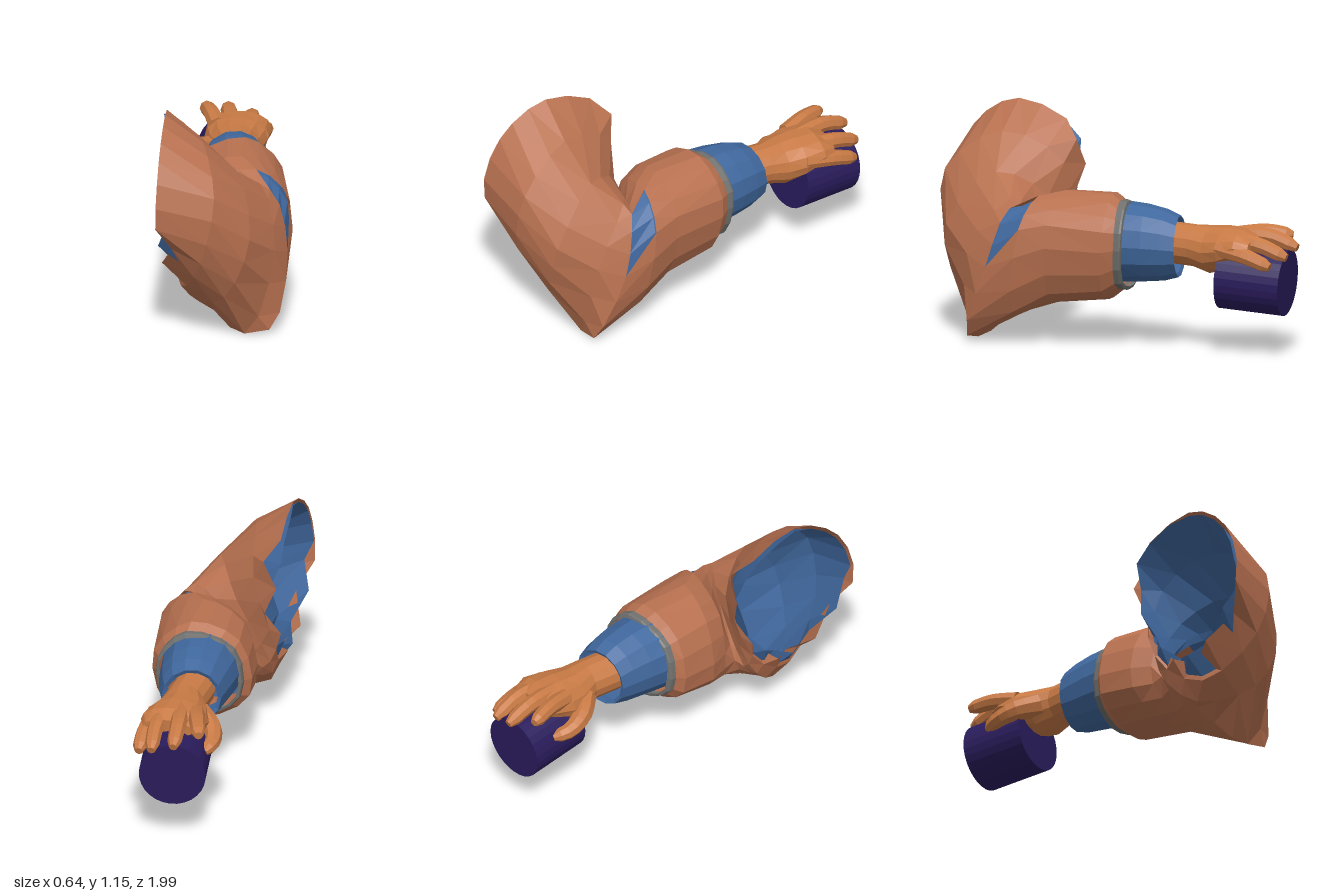
import * as THREE from 'three';

const V = (x, y, z) => new THREE.Vector3(x, y, z);
const SIDES = 18;

const material = (color) =>
  new THREE.MeshStandardMaterial({ color, flatShading: true, side: THREE.DoubleSide });
const cloth = material(0xb87150);
const lining = material(0x40689e);
const metal = material(0x70706e);
const skin = material(0xc87a45);
const dark = material(0x2a1c5c);

// Joins closed cross-sections into a skin, splitting each quad on its shorter diagonal;
// skip(i, j) leaves a hole, capped closes the ends
function loft(rings, { skip = () => false, capped = false } = {}) {
  const n = rings[0].length;
  const points = rings.flat();
  const index = [];
  for (let i = 0; i < rings.length - 1; i++) {
    for (let j = 0; j < n; j++) {
      if (skip(i, j)) continue;
      const a = i * n + j, b = i * n + ((j + 1) % n), c = b + n, d = a + n;
      if (points[a].distanceTo(points[c]) < points[b].distanceTo(points[d])) index.push(a, d, c, a, c, b);
      else index.push(a, d, b, b, d, c);
    }
  }
  if (capped) {
    const last = (rings.length - 1) * n;
    for (let j = 1; j < n - 1; j++) index.push(0, j, j + 1, last, last + j + 1, last + j);
  }
  const g = new THREE.BufferGeometry().setFromPoints(points);
  g.setIndex(index);
  g.computeVertexNormals();
  return g;
}

// Smooth closed cross-section through six guide points
function ringThrough(points) {
  const curve = new THREE.CatmullRomCurve3(points.map((p) => V(...p)), true);
  return Array.from({ length: SIDES }, (_, j) => curve.getPoint(j / SIDES));
}

// Copy of a cross-section, scaled about its middle and moved along z
function scaled(ring, s, dz = 0) {
  const mid = ring.reduce((m, p) => m.add(p), V(0, 0, 0)).divideScalar(ring.length);
  return ring.map((p) => p.clone().sub(mid).multiplyScalar(s).add(mid).add(V(0, 0, dz)));
}

// Elliptical cross-section facing z, slanted along x
function ellipse([z, cx, cy, rx, ry], n = 14, slant = 0) {
  return Array.from({ length: n }, (_, j) => {
    const a = (j / n) * Math.PI * 2;
    const x = cx + rx * Math.cos(a);
    return V(x, cy + ry * Math.sin(a), z + slant * (x - cx));
  });
}

// Tapering rounded finger along a path
function finger(points, r0, r1) {
  const curve = new THREE.CatmullRomCurve3(points.map((p) => V(...p)));
  const steps = 8, n = 8;
  const { normals, binormals } = curve.computeFrenetFrames(steps);
  const rings = [];
  for (let i = 0; i <= steps; i++) {
    const c = curve.getPointAt(i / steps);
    const r = THREE.MathUtils.lerp(r0, r1, i / steps) * (i === steps ? 0.6 : 1);
    rings.push(Array.from({ length: n }, (_, j) => {
      const a = (j / n) * Math.PI * 2;
      return c.clone()
        .addScaledVector(normals[i], r * Math.cos(a))
        .addScaledVector(binormals[i], -r * Math.sin(a));
    }));
  }
  return loft(rings, { capped: true });
}

// Sleeve cross-sections: top, outer, outer low, bottom, inner low, inner top
const forearm = [
  [[0.06, 0.735, -0.1], [0.19, 0.6, -0.13], [0.145, 0.345, -0.11], [-0.03, 0.3, -0.09], [-0.2, 0.4, -0.05], [-0.17, 0.65, -0.05]],
  [[0.05, 0.775, -0.04], [0.235, 0.61, -0.07], [0.18, 0.3, -0.04], [0, 0.24, -0.02], [-0.24, 0.38, 0], [-0.19, 0.68, 0]],
  [[0.06, 0.775, 0.22], [0.28, 0.63, 0.22], [0.22, 0.27, 0.24], [0, 0.21, 0.25], [-0.22, 0.36, 0.2], [-0.16, 0.68, 0.2]],
  [[0.14, 0.75, 0.33], [0.31, 0.6, 0.36], [0.25, 0.17, 0.42], [0, 0.18, 0.4], [-0.18, 0.36, 0.3], [-0.12, 0.65, 0.31]],
];
const upperArm = [
  [[0.22, 0.69, 0.45], [0.315, 0.4, 0.54], [0.235, 0.03, 0.68], [-0.05, 0.155, 0.5], [-0.18, 0.38, 0.36], [0, 0.62, 0.38]],
  [[0.17, 0.73, 0.47], [0.26, 0.45, 0.67], [0.11, 0.005, 0.68], [-0.12, 0.17, 0.55], [-0.2, 0.34, 0.4], [-0.02, 0.64, 0.38]],
  [[0.07, 0.84, 0.6], [0.15, 0.57, 0.84], [0.02, 0.25, 0.82], [-0.17, 0.17, 0.6], [-0.24, 0.38, 0.4], [-0.07, 0.71, 0.38]],
  [[-0.1, 1.015, 0.65], [-0.02, 0.82, 0.93], [-0.09, 0.47, 0.93], [-0.21, 0.25, 0.67], [-0.27, 0.45, 0.4], [-0.17, 0.87, 0.34]],
  [[-0.29, 1.155, 0.65], [-0.3, 1.0, 0.91], [-0.31, 0.67, 0.99], [-0.29, 0.35, 0.64], [-0.3, 0.55, 0.38], [-0.3, 0.98, 0.3]],
];

export function createModel() {
  const model = new THREE.Group();
  const add = (name, geometry, mat, parent = model) => {
    const mesh = new THREE.Mesh(geometry, mat);
    mesh.name = name;
    parent.add(mesh);
    return mesh;
  };

  // Bent outer sleeve with a torn shoulder hem and a tear above the elbow
  const rings = [...forearm, ...upperArm].map(ringThrough);
  const hem = rings.at(-1);
  const tear = (ring, depth, odd) => ring.forEach((p, j) => {
    if (j >= 6 && j <= 15 && j % 2 === odd) p.x += depth;
  });
  const inner = rings.slice(2).map((r) => scaled(r, 0.95));
  tear(hem, 0.07, 1);
  tear(inner.at(-1), 0.05, 0);
  inner.at(-1).forEach((p, j) => { if (j > 13) p.x -= 0.015; });
  add('outerSleeve', loft(rings, { skip: (i, j) => i === 3 && j < 3 }), cloth);
  add('sleeveLining', loft(inner), lining);

  // Raised band round the end of the sleeve
  const band = [[0.95, -0.03], [1.02, -0.025], [1.04, -0.015], [1.04, 0.015], [1.0, 0.025]];
  add('sleeveBand', loft(band.map(([s, dz]) => scaled(rings[0], s, dz))), metal);

  // Inner cuff, with a slanted open end
  const cuff = [
    [-0.06, -0.01, 0.53, 0.2, 0.205],
    [-0.2, -0.02, 0.53, 0.182, 0.195],
    [-0.3, -0.03, 0.525, 0.163, 0.18],
    [-0.37, -0.04, 0.52, 0.145, 0.155],
    [-0.36, -0.04, 0.52, 0.125, 0.135],
  ];
  add('innerCuff', loft(cuff.map((r) => ellipse(r, 14, -0.25))), lining);

  // Hand: wrist and palm, then fingers
  const hand = new THREE.Group();
  hand.name = 'hand';
  model.add(hand);
  const palm = [
    [-0.3, -0.04, 0.54, 0.105, 0.105],
    [-0.46, -0.03, 0.535, 0.105, 0.105],
    [-0.55, -0.045, 0.52, 0.135, 0.12],
    [-0.64, -0.045, 0.535, 0.16, 0.11],
    [-0.74, -0.04, 0.56, 0.16, 0.08],
    [-0.81, -0.04, 0.56, 0.13, 0.045],
  ];
  add('palm', loft(palm.map((r) => ellipse(r)), { capped: true }), skin, hand);
  const fingers = {
    indexFinger: [[-0.14, 0.585, -0.66], [-0.185, 0.605, -0.79], [-0.225, 0.59, -0.91]],
    middleFinger: [[-0.07, 0.595, -0.66], [-0.1, 0.6, -0.84], [-0.115, 0.55, -0.99]],
    ringFinger: [[0.01, 0.58, -0.66], [0.015, 0.57, -0.84], [0.0, 0.515, -0.985]],
    littleFinger: [[0.07, 0.55, -0.64], [0.085, 0.52, -0.8], [0.08, 0.475, -0.93]],
  };
  for (const [name, path] of Object.entries(fingers)) add(name, finger(path, 0.048, 0.035), skin, hand);
  add('thumb', finger([[-0.12, 0.52, -0.53], [-0.21, 0.49, -0.61], [-0.24, 0.46, -0.7], [-0.22, 0.44, -0.79]], 0.065, 0.032), skin, hand);

  // Cylinder held under the palm
  const grip = add('heldCylinder', new THREE.CylinderGeometry(0.168, 0.168, 0.335, 28), dark);
  grip.position.set(-0.072, 0.383, -0.777);
  grip.quaternion.setFromUnitVectors(V(0, 1, 0), V(0.15, 0.07, 0.98).normalize());

  return model;
}
